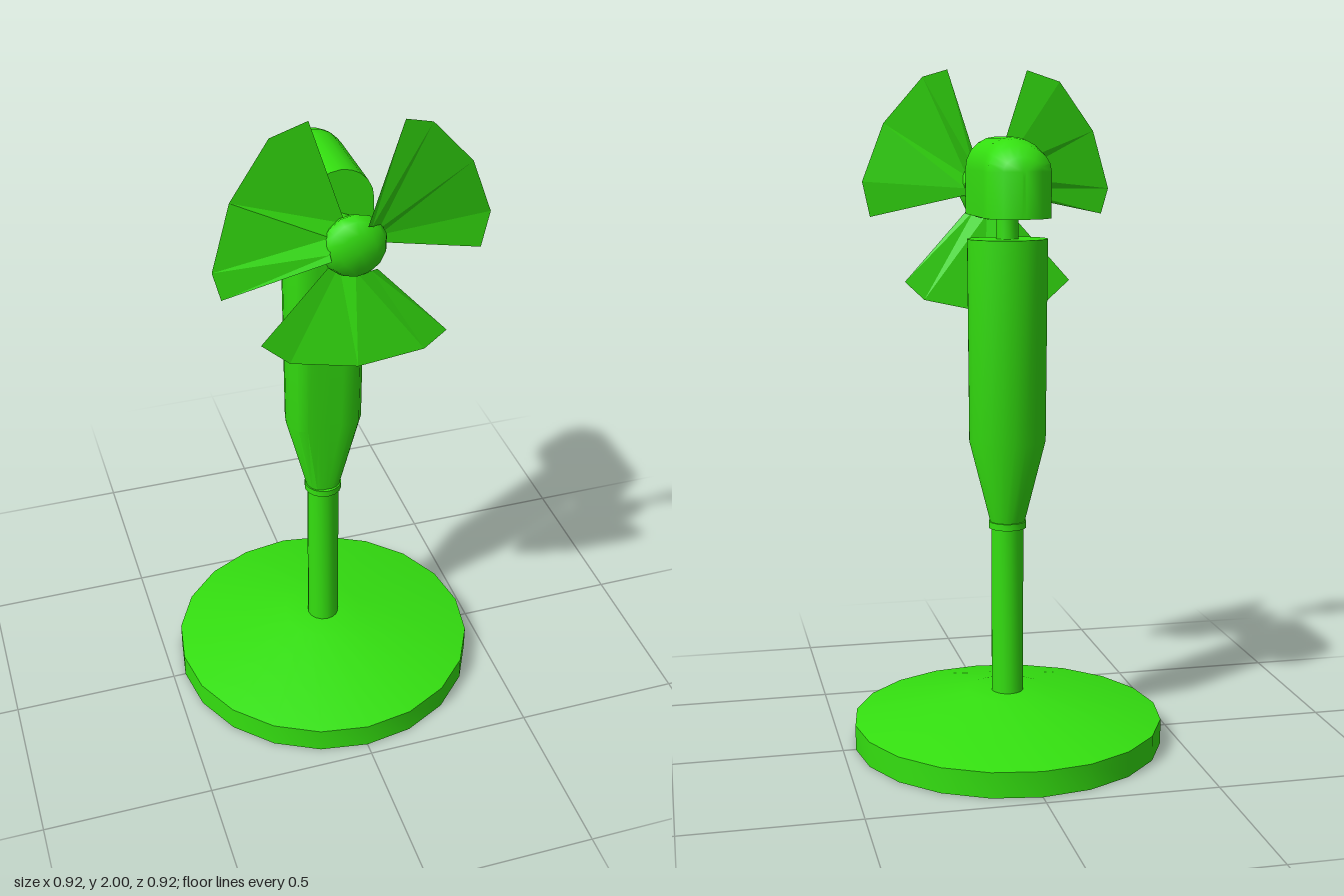
import * as THREE from 'three';
import { toCreasedNormals } from 'three/addons/utils/BufferGeometryUtils.js';

const green = new THREE.MeshStandardMaterial({ color: 0x34e010 });
const bladeGreen = new THREE.MeshStandardMaterial({ color: 0x34e010, side: THREE.DoubleSide, flatShading: true });

// Skin a list of rings (counter-clockwise around the direction of travel) and cap both ends
function loft(rings) {
  const pos = [];
  const tri = (a, b, c) => pos.push(...a, ...b, ...c);
  const n = rings[0].length;
  const centre = (r) => [0, 1, 2].map((k) => r.reduce((s, p) => s + p[k], 0) / n);
  const first = rings[0], last = rings[rings.length - 1];
  const c0 = centre(first), c1 = centre(last);
  for (let j = 0; j < n; j++) {
    const k = (j + 1) % n;
    for (let i = 0; i < rings.length - 1; i++) {
      const a = rings[i], b = rings[i + 1];
      tri(a[j], a[k], b[k]);
      tri(a[j], b[k], b[j]);
    }
    tri(c0, first[k], first[j]);
    tri(c1, last[j], last[k]);
  }
  const g = new THREE.BufferGeometry();
  g.setAttribute('position', new THREE.Float32BufferAttribute(pos, 3));
  return toCreasedNormals(g, 0.7);
}

function lathe(points, sides) {
  const g = new THREE.LatheGeometry(points.map(([r, y]) => new THREE.Vector2(r, y)), sides);
  g.deleteAttribute('normal');
  return toCreasedNormals(g, 0.85);
}

// Oval section whose front is cut flat
function bodyRing(y, rx, rz, front) {
  return Array.from({ length: 20 }, (_, i) => {
    const t = (i / 20) * Math.PI * 2;
    return [rx * Math.sin(t), y, Math.min(rz * Math.cos(t), front)];
  });
}

// Arched section with a flat bottom
function headRing(z, w, top) {
  const ring = [[w, 1.575, z]];
  for (let i = 0; i <= 10; i++) {
    const t = (i / 10) * Math.PI;
    ring.push([w * Math.cos(t), 1.705 + (top - 1.705) * Math.sin(t), z]);
  }
  ring.push([-w, 1.575, z]);
  return ring;
}

// Twisted fan-shaped blade around +x: [angle, radius, z] along its rim
function bladeGeometry() {
  const rim = [[-42, 0.372, 0.25], [-26, 0.387, 0.25], [2, 0.373, 0.28], [30, 0.386, 0.305], [42, 0.375, 0.315]];
  const pos = [], index = [];
  rim.forEach(([deg, r, z], i) => {
    const a = THREE.MathUtils.degToRad(deg);
    for (const q of [0.075, r]) pos.push(q * Math.cos(a), q * Math.sin(a), z);
    if (i) {
      const k = 2 * i;
      index.push(k - 2, k - 1, k + 1, k - 2, k + 1, k);
    }
  });
  const g = new THREE.BufferGeometry();
  g.setAttribute('position', new THREE.Float32BufferAttribute(pos, 3));
  g.setIndex(index);
  g.computeVertexNormals();
  return g;
}

export function createModel() {
  const group = new THREE.Group();
  const add = (name, geometry, parent = group, material = green) => {
    const m = new THREE.Mesh(geometry, material);
    m.name = name;
    parent.add(m);
    return m;
  };

  // Stand
  add('base', lathe([[0, 0], [0.462, 0], [0.462, 0.075], [0.12, 0.155], [0, 0.155]], 20));
  add('pole', lathe([[0.048, 0.15], [0.048, 0.67]], 16));
  add('collar', lathe([[0, 0.657], [0.056, 0.657], [0.056, 0.677], [0, 0.677]], 16));

  // Handle-shaped body, flat at the front
  add('body', loft([
    bodyRing(0.677, 0.052, 0.05, 0.045),
    bodyRing(0.92, 0.114, 0.1, 0.068),
    bodyRing(1.51, 0.118, 0.105, 0.08),
  ]));
  add('neck', lathe([[0.033, 1.5], [0.033, 1.585]], 12));

  // Motor head with rounded top and back
  add('motorHead', loft([
    headRing(-0.217, 0.006, 1.707),
    headRing(-0.2, 0.055, 1.745),
    headRing(-0.157, 0.092, 1.778),
    headRing(-0.11, 0.093, 1.795),
    headRing(-0.07, 0.093, 1.8),
    headRing(0.155, 0.093, 1.8),
  ]));

  // Fan: shaft, hub and three blades
  const fan = new THREE.Group();
  fan.name = 'fan';
  fan.position.y = 1.641;
  group.add(fan);
  add('shaft', lathe([[0.034, 0.14], [0.034, 0.26]], 8), fan).rotation.x = Math.PI / 2;
  add('hub', lathe([[0, 0.25], [0.078, 0.25], [0.09, 0.275], [0.08, 0.298], [0.05, 0.315], [0, 0.32]], 14), fan).rotation.x = Math.PI / 2;
  const blade = bladeGeometry();
  for (let i = 0; i < 3; i++) {
    add('blade', blade, fan, bladeGreen).rotation.z = Math.PI / 6 + (i * Math.PI * 2) / 3;
  }
  return group;
}
